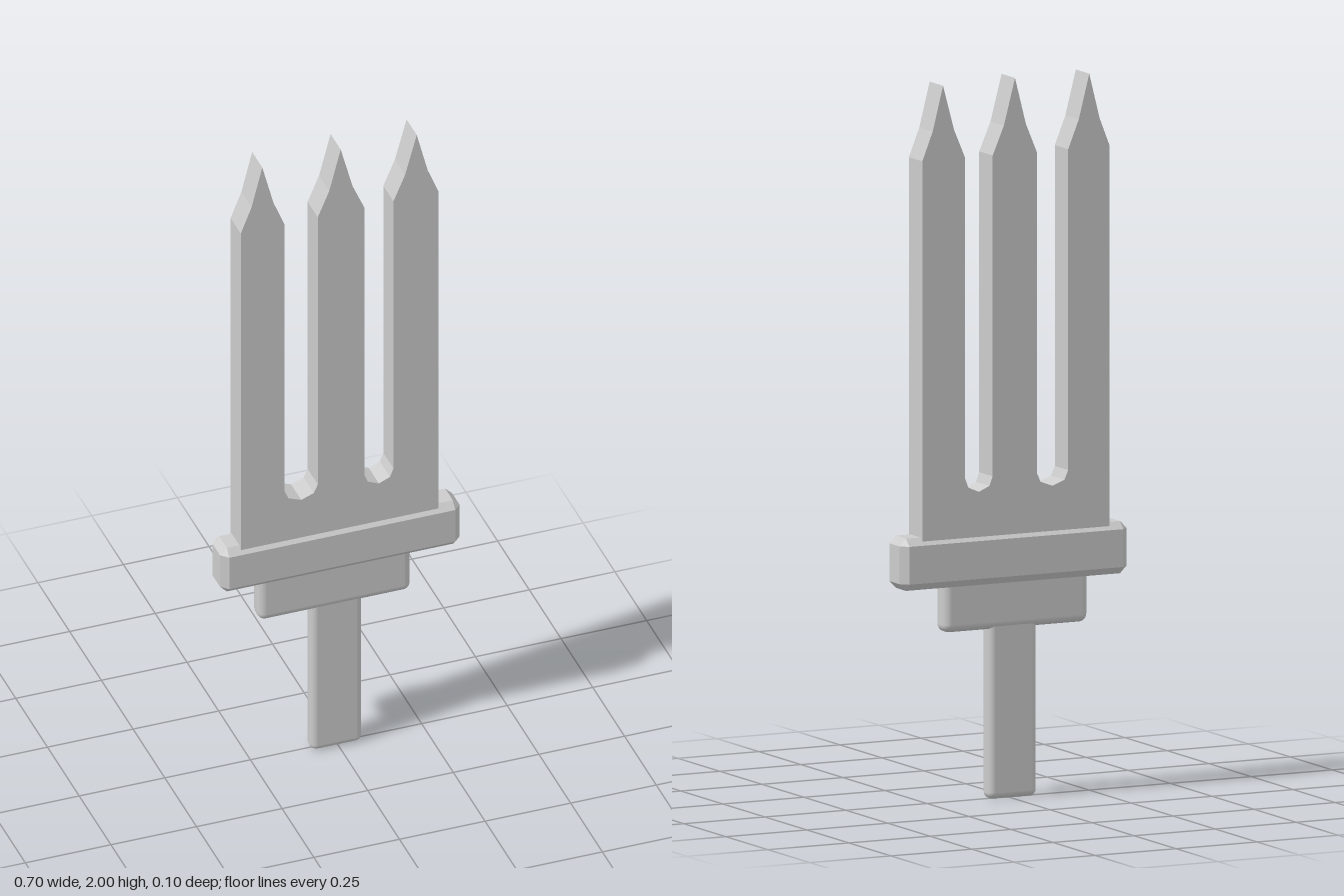
import * as THREE from 'three';
import { RoundedBoxGeometry } from 'three/addons/geometries/RoundedBoxGeometry.js';
import { ConvexGeometry } from 'three/addons/geometries/ConvexGeometry.js';

const smooth = new THREE.MeshStandardMaterial({ color: 0xcccccc });
const faceted = new THREE.MeshStandardMaterial({ color: 0xcccccc, flatShading: true });

// Box with every edge and corner cut at 45 degrees
function chamferedBox(w, h, d, c) {
  const points = [];
  const [x, y, z] = [w / 2, h / 2, d / 2];
  for (const sx of [-1, 1]) for (const sy of [-1, 1]) for (const sz of [-1, 1]) {
    points.push(
      new THREE.Vector3(sx * x, sy * (y - c), sz * (z - c)),
      new THREE.Vector3(sx * (x - c), sy * y, sz * (z - c)),
      new THREE.Vector3(sx * (x - c), sy * (y - c), sz * z));
  }
  return new ConvexGeometry(points);
}

// Three-pronged blade outline, drawn prong by prong from right to left
function bladeGeometry() {
  const base = 0.72, shoulder = 1.79;
  const prongs = [[0.285, 0.153, 0.221], [0.068, -0.068, -0.001], [-0.165, -0.293, -0.23]];
  const outline = [[0.285, base]];
  prongs.forEach(([right, left, tip], i) => {
    outline.push([right, shoulder], [right + (tip - right) * 0.5, 1.87], [tip, i === 1 ? 2 : 1.995],
      [left + (tip - left) * 0.5, 1.87], [left, shoulder]);
    if (i < 2) {
      // Rounded bottom of the slot to the next prong
      const next = prongs[i + 1][0], w = left - next;
      outline.push([left, 0.9], [left - w * 0.12, 0.874], [left - w * 0.5, 0.86],
        [next + w * 0.12, 0.874], [next, 0.9]);
    }
  });
  outline.push([-0.293, base]);
  const shape = new THREE.Shape(outline.map(([x, y]) => new THREE.Vector2(x, y)));
  return new THREE.ExtrudeGeometry(shape, { depth: 0.08, bevelEnabled: false }).translate(0, 0, -0.04);
}

export function createModel() {
  const model = new THREE.Group();
  const add = (name, geometry, material, x, y) => {
    const mesh = new THREE.Mesh(geometry, material);
    mesh.name = name;
    mesh.position.set(x, y, 0);
    model.add(mesh);
  };

  add('blade', bladeGeometry(), faceted, 0, 0);
  add('guard', chamferedBox(0.7, 0.145, 0.1, 0.02), faceted, 0, 0.6725);
  add('collar', new RoundedBoxGeometry(0.445, 0.17, 0.06, 4, 0.022), smooth, -0.012, 0.557);
  add('handle', new RoundedBoxGeometry(0.148, 0.52, 0.05, 4, 0.018), smooth, -0.005, 0.26);

  return model;
}
